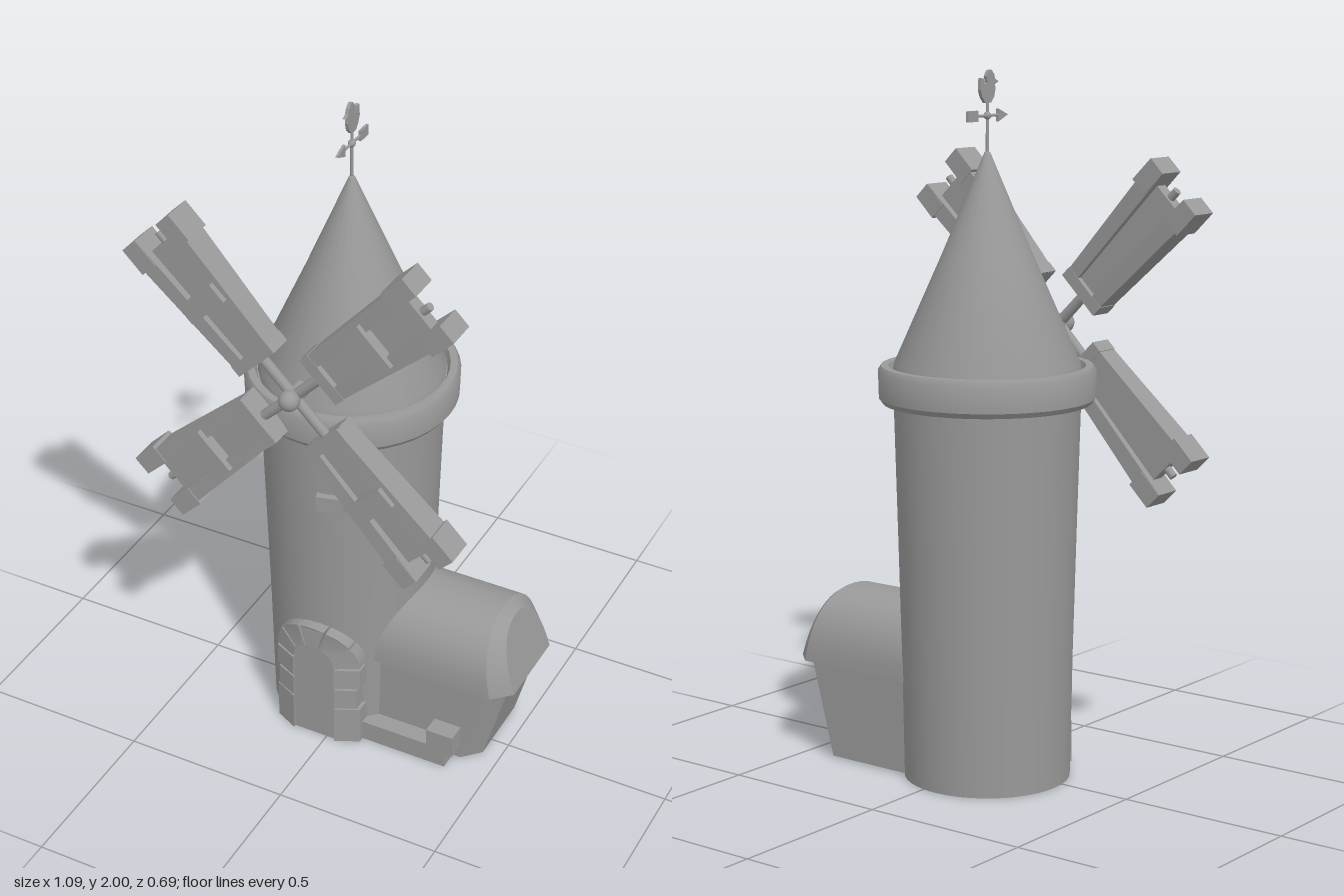
import * as THREE from 'three';
import { toCreasedNormals } from 'three/addons/utils/BufferGeometryUtils.js';
import { ConvexGeometry } from 'three/addons/geometries/ConvexGeometry.js';

const stone = new THREE.MeshStandardMaterial({ color: 0x999999 });
stone.name = 'grey stone';
const CX = -0.046, CZ = -0.044; // tower axis
const V = (x, y, z) => new THREE.Vector3(x, y, z);
const P = (x, y) => new THREE.Vector2(x, y);

function add(parent, name, geo, x = 0, y = 0, z = 0) {
  const mesh = new THREE.Mesh(geo, stone);
  mesh.name = name;
  mesh.position.set(x, y, z);
  parent.add(mesh);
  return mesh;
}
const box = (w, h, d) => new THREE.BoxGeometry(w, h, d);
const cyl = (rt, rb, h, n = 10) => new THREE.CylinderGeometry(rt, rb, h, n);
const lathe = (pts, n) => toCreasedNormals(new THREE.LatheGeometry(pts.map(p => P(...p)), n), 0.6);

// flat outline extruded between two z depths
function plate(pts, z0, z1) {
  const g = new THREE.ExtrudeGeometry(new THREE.Shape(pts.map(p => P(...p))), { depth: z1 - z0, bevelEnabled: false });
  return g.translate(0, 0, z0);
}

// move each vertex by a rule
function warp(geo, rule) {
  const pos = geo.attributes.position, v = V(0, 0, 0);
  for (let i = 0; i < pos.count; i++) {
    rule(v.fromBufferAttribute(pos, i));
    pos.setXYZ(i, v.x, v.y, v.z);
  }
  geo.computeVertexNormals();
  return geo;
}

function makeTower() {
  const g = new THREE.Group();
  g.name = 'tower';
  g.position.set(CX, 0, CZ);
  add(g, 'towerWall', lathe([[0, 0], [0.237, 0], [0.243, 0.35], [0.252, 0.7], [0.263, 1.1]], 40));
  add(g, 'parapet', lathe([[0.25, 1.08], [0.293, 1.08], [0.304, 1.095], [0.306, 1.17], [0.297, 1.185],
    [0.276, 1.185], [0.268, 1.165], [0.2, 1.165]], 40));
  add(g, 'coneRoof', lathe([[0.266, 1.165], [0.262, 1.19], [0.13, 1.487], [0.008, 1.775], [0, 1.78]], 24));
  // protruding bricks set around the wall
  [[0.065, 0.875, 0.08], [0.142, 0.935, 0.075]].forEach(([x, y, w]) => {
    const a = Math.asin(x / 0.265);
    const b = add(g, 'wallBrick', box(w, 0.05, 0.06), Math.sin(a) * 0.246, y, Math.cos(a) * 0.246);
    b.rotation.y = a;
  });
  return g;
}

function makeVane() {
  const g = new THREE.Group();
  g.name = 'weatherVane';
  g.position.set(CX, 0, CZ);
  add(g, 'vanePole', cyl(0.004, 0.005, 0.17), 0, 1.845, 0);
  add(g, 'vaneCollar', new THREE.SphereGeometry(0.011, 10, 8), 0, 1.875, 0);
  add(g, 'arrowShaft', cyl(0.004, 0.004, 0.14).rotateX(Math.PI / 2), 0, 1.875, 0);
  const side = geo => geo.rotateY(-Math.PI / 2);
  add(g, 'arrowHead', side(plate([[0.045, -0.018], [0.088, 0], [0.045, 0.018]], -0.004, 0.004)), 0, 1.875, 0);
  add(g, 'arrowTail', box(0.008, 0.03, 0.045), 0, 1.875, -0.067);
  add(g, 'vaneBird', side(plate([[0.01, -0.005], [0.024, 0.01], [0.03, 0.032], [0.028, 0.045], [0.044, 0.052],
    [0.029, 0.06], [0.024, 0.073], [0.012, 0.085], [0, 0.083], [-0.01, 0.068], [-0.005, 0.05], [-0.018, 0.045],
    [-0.022, 0.062], [-0.034, 0.063], [-0.036, 0.03], [-0.028, 0.01], [-0.014, -0.005]].reverse(), -0.005, 0.005)), 0, 1.915, 0);
  return g;
}

// one sail pointing up: two tapering rails, a sunken panel and cross pieces
function makeSail() {
  const g = new THREE.Group();
  g.name = 'sail';
  const rule = v => { v.z *= 0.75 + 0.45 * v.y; };
  for (const s of [-1, 1]) {
    const pts = [[0.034, 0.13], [0.073, 0.13], [0.1, 0.59], [0.048, 0.59]].map(([x, y]) => [x * s, y]);
    add(g, 'sailRail', warp(plate(pts, -0.043, 0.043), rule));
    add(g, 'railTip', box(0.057, 0.085, 0.09), s * 0.077, 0.548, 0);
  }
  add(g, 'sailPanel', plate([[-0.036, 0.14], [0.036, 0.14], [0.05, 0.54], [-0.05, 0.54]], -0.02, 0.02));
  add(g, 'innerBar', box(0.154, 0.035, 0.074), 0, 0.148, 0);
  add(g, 'crossBar', box(0.14, 0.06, 0.035), 0, 0.35, 0.038);
  add(g, 'spar', cyl(0.012, 0.016, 0.57), 0, 0.285, 0);
  return g;
}

function makeWheel() {
  const g = new THREE.Group();
  g.name = 'sailWheel';
  g.position.set(-0.05, 1.265, 0.288);
  for (let i = 0; i < 4; i++) {
    const sail = makeSail();
    sail.rotation.z = Math.PI / 4 + i * Math.PI / 2;
    if (i === 2) sail.scale.y = 1.03;
    g.add(sail);
  }
  add(g, 'hub', cyl(0.025, 0.025, 0.08, 16).rotateX(Math.PI / 2));
  add(g, 'hubCap', new THREE.SphereGeometry(0.03, 16, 12), 0, 0, 0.027);
  return g;
}

function makeDoor() {
  const g = new THREE.Group();
  g.name = 'doorway';
  g.position.set(-0.038, 0, CZ);
  const ri = 0.068, ro = 0.137, spring = 0.28;
  const block = pts => {
    // wrap the block round the wall
    const geo = warp(plate(pts, -0.03, 0.037), v => { v.z += Math.sqrt(0.24 ** 2 - v.x ** 2); });
    add(g, 'doorStone', toCreasedNormals(geo, 0.5));
  };
  const rows = [0, 0.13, 0.205, spring];
  for (const s of [-1, 1]) for (let i = 0; i < 3; i++) {
    const w = i === 1 ? ro - 0.008 : ro, y0 = rows[i], y1 = rows[i + 1] - 0.006;
    block([[s * ri, y0], [s * w, y0], [s * w, y1], [s * ri, y1]]);
  }
  const n = 5, sub = 4;
  for (let i = 0; i < n; i++) {
    const a0 = Math.PI * i / n + 0.025, a1 = Math.PI * (i + 1) / n - 0.025, outer = [], inner = [];
    for (let k = 0; k <= sub; k++) {
      const a = a0 + (a1 - a0) * k / sub, c = Math.cos(a), s = Math.sin(a);
      outer.push([ro * c, spring + ro * s]);
      inner.unshift([ri * c, spring + ri * s]);
    }
    block([...outer, ...inner]);
  }
  const leaf = [[-0.074, 0], [0.074, 0]];
  for (let k = 0; k <= 14; k++) {
    const a = Math.PI * k / 14;
    leaf.push([0.074 * Math.cos(a), spring + 0.074 * Math.sin(a)]);
  }
  add(g, 'door', plate(leaf, 0.18, 0.258));
  return g;
}

function makeAnnex() {
  const g = new THREE.Group();
  g.name = 'annex';
  g.position.z = CZ;
  // wall leans outwards and has clipped corners
  const wall = [];
  for (const [y, x] of [[0.005, 0.447], [0.3, 0.527]]) for (const s of [-1, 1])
    wall.push(V(0, y, s * 0.163), V(x - 0.05, y, s * 0.163), V(x, y, s * 0.112));
  add(g, 'annexWall', new ConvexGeometry(wall));
  // barrel roof with a hipped end
  const roof = [], n = 20;
  for (let k = 0; k <= n; k++) {
    const a = Math.PI * k / n, c = Math.cos(a);
    const z = 0.178 * Math.sign(c) * Math.abs(c) ** 0.88, f = Math.sin(a) ** 0.85;
    roof.push(V(0, 0.28 + 0.207 * f, z), V(0.49 - 0.04 * f, 0.28 + 0.207 * f, z),
      V(0.545 - 0.06 * f, 0.28 + 0.187 * f, z * 0.71));
  }
  add(g, 'annexRoof', toCreasedNormals(new ConvexGeometry(roof), 0.5));
  return g;
}

export function createModel() {
  const model = new THREE.Group();
  model.name = 'windmill';
  model.add(makeTower(), makeVane(), makeWheel(), makeDoor(), makeAnnex());
  // low garden wall beside the annex
  add(model, 'lowWall', box(0.28, 0.065, 0.06), 0.23, 0.033, 0.143);
  add(model, 'lowWallPost', box(0.085, 0.07, 0.065), 0.353, 0.087, 0.143);
  return model;
}
